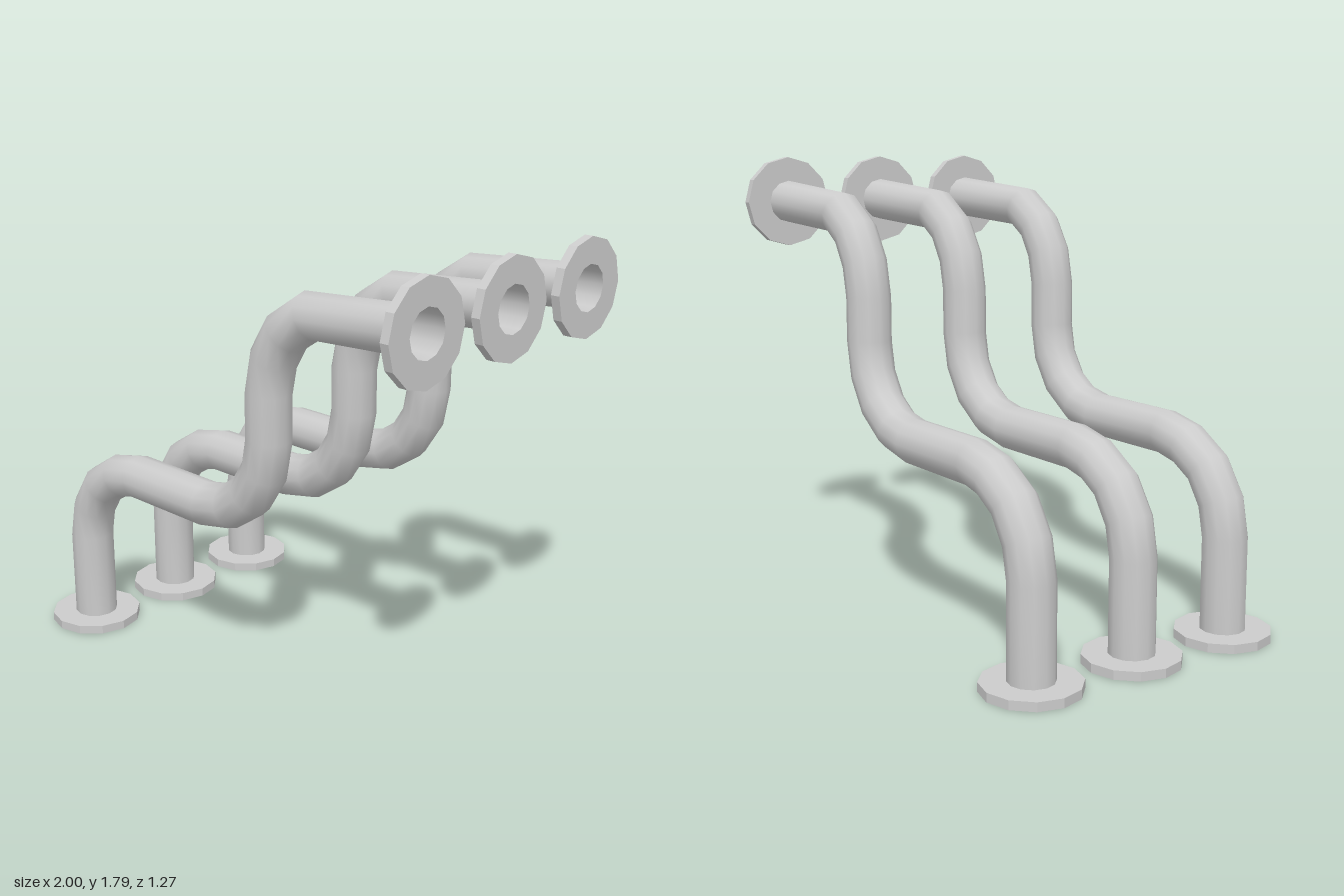
import * as THREE from 'three';

const SIDES = 12, PIPE_R = 0.088, FLANGE_R = 0.1875, THICK = 0.035;

// Bent centreline: x, y, direction of travel in degrees
const PATH = [
  [-0.8125, 0, 90], [-0.8125, 0.393, 90],
  [-0.786, 0.524, 67.5], [-0.711, 0.639, 45], [-0.594, 0.711, 22.5], [-0.473, 0.738, 0],
  [-0.06, 0.738, 0], [0.072, 0.765, 22.5], [0.184, 0.84, 45], [0.257, 0.952, 67.5],
  [0.283, 1.083, 88], [0.283, 1.257, 89],
  [0.31, 1.388, 67.5], [0.377, 1.497, 45], [0.495, 1.575, 22],
  [0.965, 1.604, 0], [1, 1.604, 0],
];

// Hollow pipe: one ring of points per path entry, joined by quads
function pipeGeometry() {
  const pos = [], index = [];
  PATH.forEach(([x, y, deg], i) => {
    const t = THREE.MathUtils.degToRad(deg);
    for (let j = 0; j < SIDES; j++) {
      const a = (j / SIDES) * Math.PI * 2;
      const n = PIPE_R * Math.cos(a);
      pos.push(x - n * Math.sin(t), y + n * Math.cos(t), PIPE_R * Math.sin(a));
      if (i === PATH.length - 1) continue;
      const k = (j + 1) % SIDES, p = i * SIDES, q = p + SIDES;
      index.push(p + j, p + k, q + j, p + k, q + k, q + j);
    }
  });
  const g = new THREE.BufferGeometry();
  g.setAttribute('position', new THREE.Float32BufferAttribute(pos, 3));
  g.setIndex(index);
  g.computeVertexNormals();
  return g;
}

export function createModel() {
  const model = new THREE.Group();
  const pipeMat = new THREE.MeshStandardMaterial({ color: 0xcccccc, side: THREE.DoubleSide });
  const flangeMat = new THREE.MeshStandardMaterial({ color: 0xcccccc, flatShading: true, side: THREE.DoubleSide });
  const pipeGeo = pipeGeometry();

  // Flange ring; the pipe itself lines the hole
  const flangeGeo = new THREE.LatheGeometry(
    [[PIPE_R, 0], [FLANGE_R, 0], [FLANGE_R, THICK], [PIPE_R, THICK]].map(([r, y]) => new THREE.Vector2(r, y)),
    SIDES,
  );

  // Three identical pipes side by side
  ['back', 'middle', 'front'].forEach((name, i) => {
    const unit = new THREE.Group();
    unit.name = name + 'PipeAssembly';
    unit.position.z = (i - 1) * 0.45;

    const pipe = new THREE.Mesh(pipeGeo, pipeMat);
    pipe.name = 'pipe';

    const base = new THREE.Mesh(flangeGeo, flangeMat);
    base.name = 'baseFlange';
    base.position.x = PATH[0][0];

    const end = new THREE.Mesh(flangeGeo, flangeMat);
    end.name = 'endFlange';
    end.rotation.z = -Math.PI / 2;
    end.position.set(1 - THICK, 1.604, 0);

    unit.add(pipe, base, end);
    model.add(unit);
  });
  return model;
}
